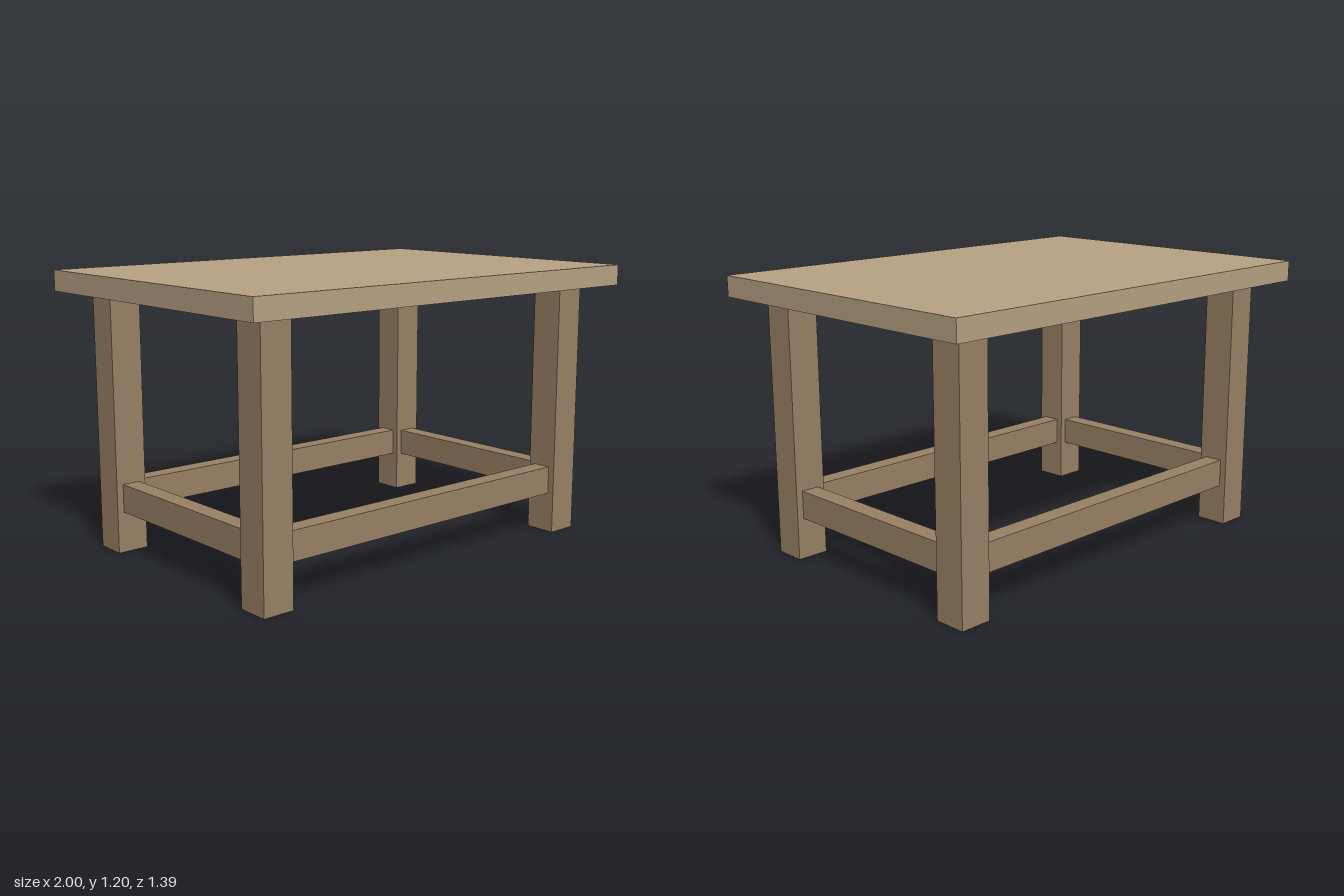
import * as THREE from 'three';

export function createModel() {
  const table = new THREE.Group();
  table.name = 'table';
  const topWood = new THREE.MeshStandardMaterial({ color: 0xb8a283 });
  const frameWood = new THREE.MeshStandardMaterial({ color: 0x9a8265 });

  const addBox = (name, material, size, position) => {
    const mesh = new THREE.Mesh(new THREE.BoxGeometry(...size), material);
    mesh.name = name;
    mesh.position.set(...position);
    table.add(mesh);
  };

  const legWidth = 0.139, legHeight = 1.111;
  const legX = 0.816, legZ = 0.509; // leg centres
  const railHeight = 0.122, railDepth = 0.08, railY = 0.238;

  // Flat slab top
  addBox('tabletop', topWood, [2, 0.089, 1.386], [0, legHeight + 0.0445, 0]);

  // Four square legs
  for (const [sideX, nameX] of [[1, 'Left'], [-1, 'Right']]) {
    for (const [sideZ, nameZ] of [[1, 'front'], [-1, 'back']]) {
      addBox(`${nameZ}${nameX}Leg`, frameWood, [legWidth, legHeight, legWidth],
        [sideX * legX, legHeight / 2, sideZ * legZ]);
    }
  }

  // Stretchers running between the legs, centred on them
  for (const [side, nameX, nameZ] of [[1, 'left', 'front'], [-1, 'right', 'back']]) {
    addBox(`${nameZ}Stretcher`, frameWood, [2 * legX - legWidth, railHeight, railDepth],
      [0, railY, side * legZ]);
    addBox(`${nameX}Stretcher`, frameWood, [railDepth, railHeight, 2 * legZ - legWidth],
      [side * legX, railY, 0]);
  }

  return table;
}
